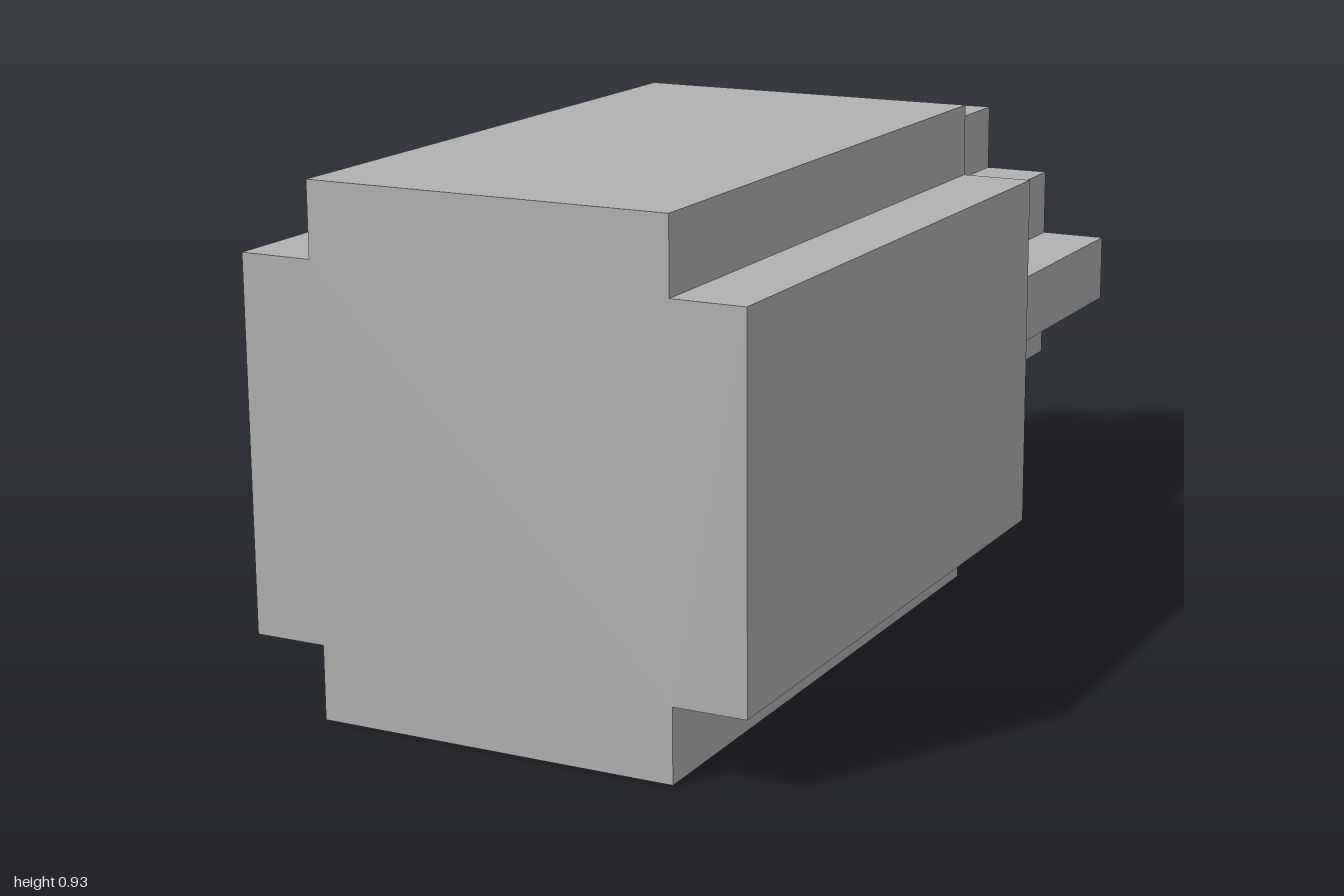
import * as THREE from 'three';

const U = 2 / 15; // one grid step: the model is 15 steps long
const CENTRE_Y = 3.5 * U;

// Stepped outline: one corner's points, repeated by quarter turns
function steppedShape(corner) {
  const points = [];
  for (let turn = 0; turn < 4; turn++) {
    for (const [a, b] of corner) {
      let x = a, y = b;
      for (let i = 0; i < turn; i++) [x, y] = [-y, x];
      points.push(new THREE.Vector2(x * U, y * U));
    }
  }
  return new THREE.Shape(points);
}

function prism(name, corner, zBack, length, material) {
  const geometry = new THREE.ExtrudeGeometry(steppedShape(corner), {
    depth: length * U,
    bevelEnabled: false,
  });
  const mesh = new THREE.Mesh(geometry, material);
  mesh.name = name;
  mesh.position.set(0, CENTRE_Y, zBack * U);
  return mesh;
}

export function createModel() {
  const grey = new THREE.MeshStandardMaterial({ color: 0xb2b2b2 });
  grey.name = 'grey';

  const model = new THREE.Group();
  model.name = 'steppedHeadAndShaft';

  // Large block with notched corners
  model.add(prism('head', [[3.5, 2.5], [2.5, 2.5], [2.5, 3.5]], -1.5, 9, grey));

  // Slim shaft with a stepped diamond section
  model.add(prism('shaft', [[2.5, 0.5], [1.5, 0.5], [1.5, 1.5], [0.5, 1.5], [0.5, 2.5]], -7.5, 6, grey));

  return model;
}
